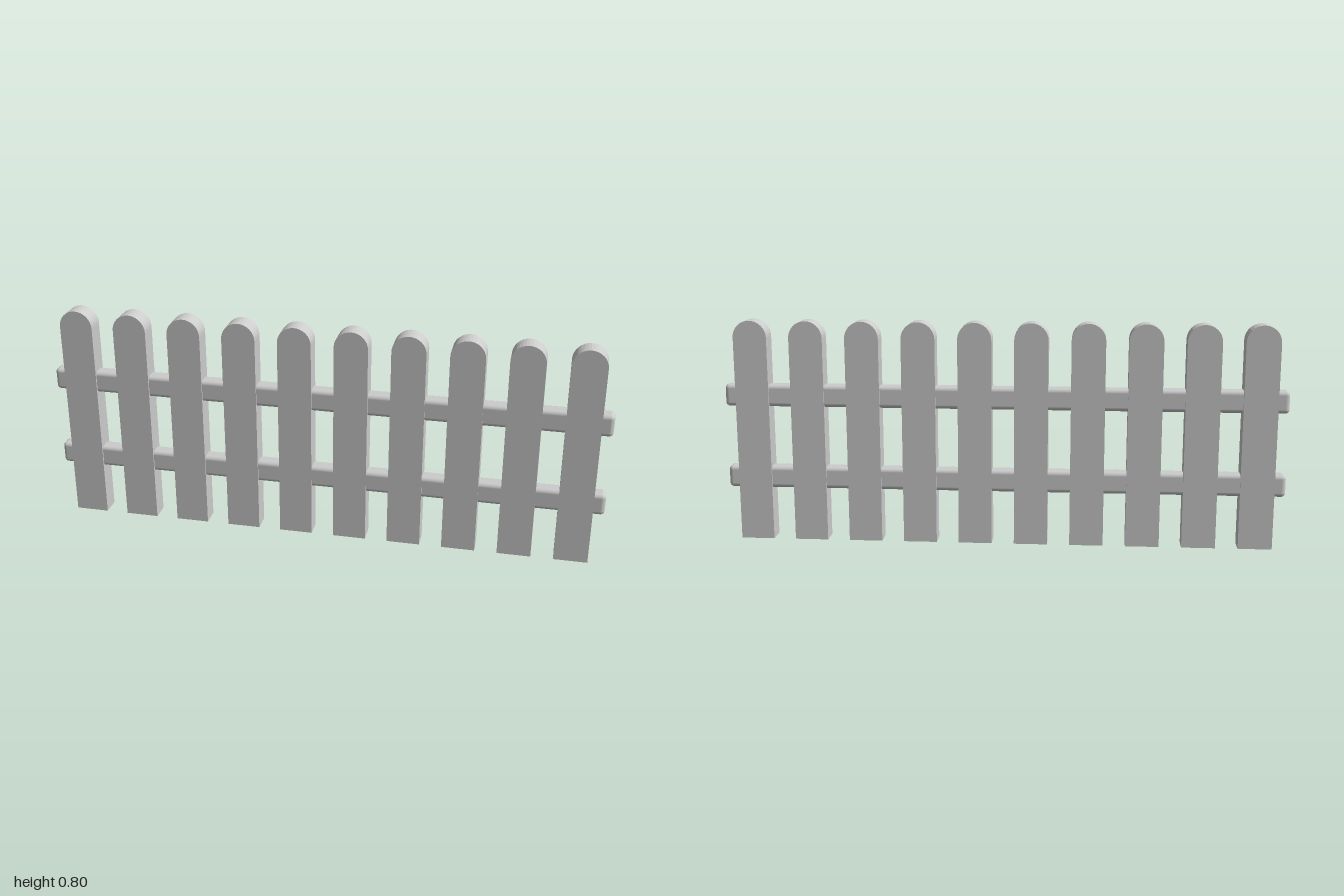
import * as THREE from 'three';
import { RoundedBoxGeometry } from 'three/addons/geometries/RoundedBoxGeometry.js';

const PICKETS = 10, SPACING = 0.2;
const WIDTH = 0.12, HEIGHT = 0.8, DEPTH = 0.07;

// Upright board outline with a half-round top, extruded through its thickness
function picketGeometry() {
  const r = WIDTH / 2;
  const outline = new THREE.Shape();
  outline.moveTo(-r, 0);
  outline.lineTo(r, 0);
  outline.lineTo(r, HEIGHT - r);
  outline.absarc(0, HEIGHT - r, r, 0, Math.PI, false);
  outline.closePath();
  const geometry = new THREE.ExtrudeGeometry(outline, {
    depth: DEPTH, bevelEnabled: false, curveSegments: 8,
  });
  return geometry.translate(0, 0, -DEPTH / 2);
}

export function createModel() {
  const fence = new THREE.Group();
  fence.name = 'picketFence';
  const paint = new THREE.MeshStandardMaterial({ color: 0xcccccc });
  paint.name = 'pale grey paint';

  // Row of pickets
  const picket = picketGeometry();
  for (let i = 0; i < PICKETS; i++) {
    const mesh = new THREE.Mesh(picket, paint);
    mesh.name = `picket${i + 1}`;
    mesh.position.x = (i - (PICKETS - 1) / 2) * SPACING;
    fence.add(mesh);
  }

  // Two soft-edged rails running through the pickets
  const rail = new RoundedBoxGeometry(2, 0.08, 0.058, 3, 0.015);
  for (const [name, y] of [['lowerRail', 0.23], ['upperRail', 0.53]]) {
    const mesh = new THREE.Mesh(rail, paint);
    mesh.name = name;
    mesh.position.y = y;
    fence.add(mesh);
  }
  return fence;
}
